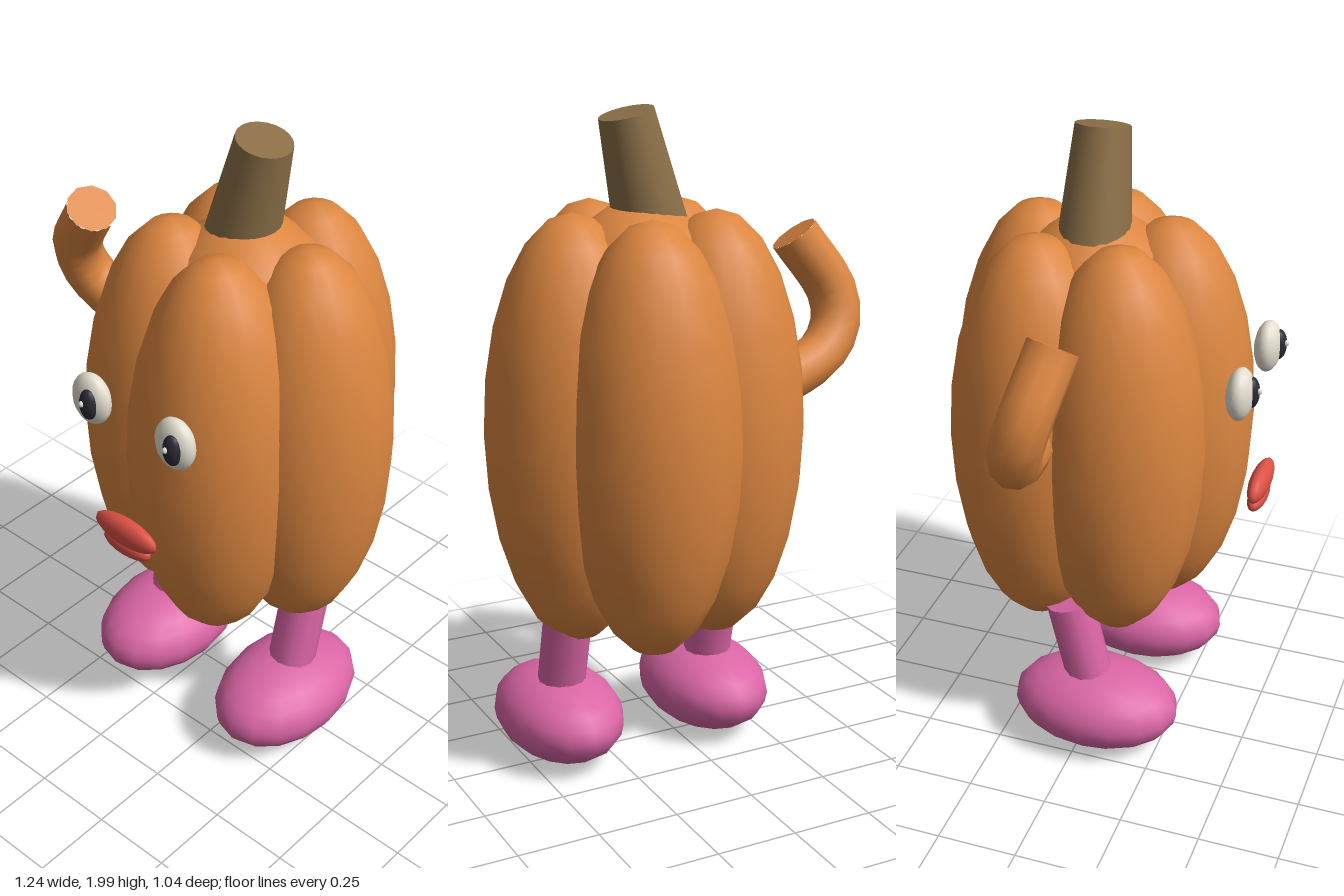
import * as THREE from 'three';

export function createModel() {
  const model = new THREE.Group();
  model.name = 'pumpkinFigure';

  const mat = (name, color) => {
    const m = new THREE.MeshStandardMaterial({ color });
    m.name = name;
    return m;
  };
  const orange = mat('pumpkinOrange', 0xdc8640);
  const brown = mat('stemBrown', 0x8c6f47);
  const pink = mat('shoePink', 0xdb66a6);
  const red = mat('lipRed', 0xdc5145);
  const cream = mat('eyeCream', 0xe4dfd0);
  const dark = mat('pupilDark', 0x2a2833);

  const add = (name, geometry, material) => {
    const mesh = new THREE.Mesh(geometry, material);
    mesh.name = name;
    model.add(mesh);
    return mesh;
  };
  const ellipsoid = (name, material, [x, y, z], [rx, ry, rz], w = 16, h = 12) => {
    const g = new THREE.SphereGeometry(1, w, h).scale(rx, ry, rz);
    add(name, g, material).position.set(x, y, z);
  };
  // Cylinder running between two points
  const rod = (name, material, from, to, rFrom, rTo, sides) => {
    const a = new THREE.Vector3(...from), b = new THREE.Vector3(...to);
    const dir = b.clone().sub(a);
    const mesh = add(name, new THREE.CylinderGeometry(rTo, rFrom, dir.length(), sides), material);
    mesh.position.copy(a).add(b).multiplyScalar(0.5);
    mesh.quaternion.setFromUnitVectors(new THREE.Vector3(0, 1, 0), dir.normalize());
  };

  // Body: five upright lobes around a core
  const cx = 0.13, cz = -0.045;
  ellipsoid('bodyCore', orange, [cx, 1.06, cz], [0.38, 0.67, 0.38]);
  for (let i = 0; i < 5; i++) {
    const a = (i * Math.PI * 2) / 5;
    ellipsoid('bodyLobe' + (i + 1), orange,
      [cx + 0.22 * Math.cos(a), 1.06, cz + 0.22 * Math.sin(a)], [0.266, 0.65, 0.266]);
  }

  // Tilted stem
  rod('stem', brown, [0.094, 1.63, cz], [0.175, 1.98, cz], 0.112, 0.082, 20);

  // Legs and shoes
  for (const [side, x] of [['right', -0.124], ['left', 0.384]]) {
    rod(side + 'Leg', pink, [x, 0.16, 0.035], [x, 0.51, -0.05], 0.074, 0.074, 12);
    ellipsoid(side + 'Shoe', pink, [x, 0.14, 0.04], [0.187, 0.135, 0.27]);
  }

  // Eyes
  for (const [side, x] of [['right', -0.026], ['left', 0.292]]) {
    ellipsoid(side + 'Eye', cream, [x, 1.293, 0.445], [0.068, 0.082, 0.041]);
    ellipsoid(side + 'Pupil', dark, [x + 0.016, 1.295, 0.474], [0.03, 0.05, 0.025]);
    ellipsoid(side + 'EyeGlint', cream, [x + 0.011, 1.305, 0.498], [0.008, 0.01, 0.009], 8, 6);
  }

  // Lips
  ellipsoid('upperLip', red, [cx, 0.915, 0.484], [0.118, 0.047, 0.031]);
  ellipsoid('lowerLip', red, [cx, 0.865, 0.48], [0.09, 0.034, 0.029]);

  // Raised right arm with a flat end
  const path = new THREE.CatmullRomCurve3([
    [-0.18, 1.115, -0.14], [-0.3, 1.15, -0.115], [-0.47, 1.21, -0.08], [-0.54, 1.29, -0.05],
    [-0.545, 1.39, -0.02], [-0.43, 1.572, 0.025],
  ].map((p) => new THREE.Vector3(...p)), false, 'centripetal');
  add('rightArm', new THREE.TubeGeometry(path, 14, 0.078, 10), orange);
  const end = add('rightArmEnd', new THREE.CircleGeometry(0.078, 10), orange);
  end.position.copy(path.getPoint(1));
  end.quaternion.setFromUnitVectors(new THREE.Vector3(0, 0, 1), path.getTangent(1));

  return model;
}
